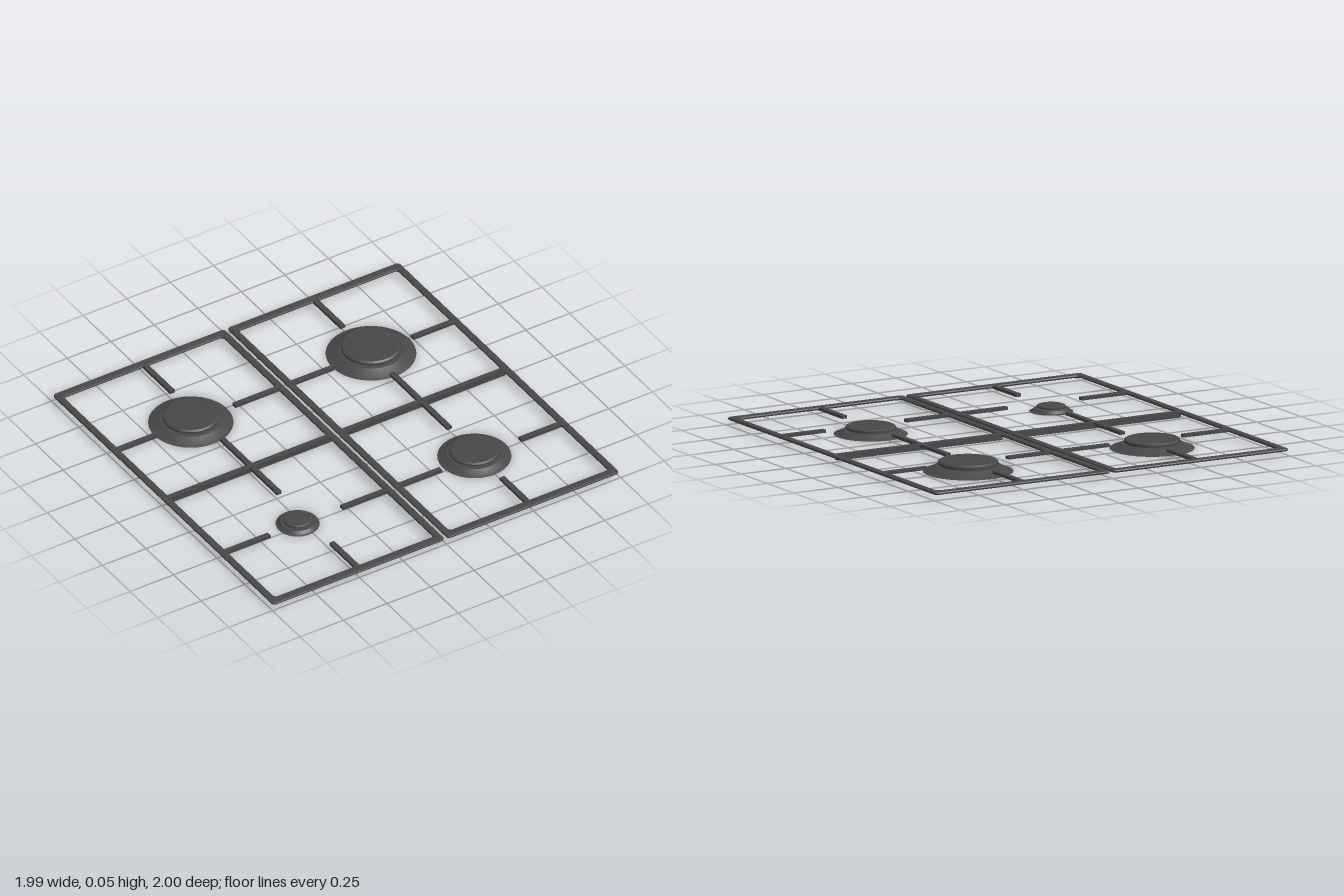
import * as THREE from 'three';
import { toCreasedNormals } from 'three/addons/utils/BufferGeometryUtils.js';

const castIron = new THREE.MeshStandardMaterial({ color: 0x484848, side: THREE.DoubleSide });
castIron.name = 'cast iron';

const TOP = 0.04, BOTTOM = 0.025, BAR = 0.028;

function addMesh(parent, name, geometry) {
  const mesh = new THREE.Mesh(geometry, castIron);
  mesh.name = name;
  parent.add(mesh);
  return mesh;
}

// Rectangle with rounded corners, as a Shape or Path
function roundedRect(target, x0, y0, x1, y1, r) {
  target.moveTo(x0 + r, y0);
  target.lineTo(x1 - r, y0);
  target.quadraticCurveTo(x1, y0, x1, y0 + r);
  target.lineTo(x1, y1 - r);
  target.quadraticCurveTo(x1, y1, x1 - r, y1);
  target.lineTo(x0 + r, y1);
  target.quadraticCurveTo(x0, y1, x0, y1 - r);
  target.lineTo(x0, y0 + r);
  target.quadraticCurveTo(x0, y0, x0 + r, y0);
  return target;
}

// Chamfered outer frame of one pan support
function frameGeometry(x0, x1) {
  const b = 0.008;
  const shape = roundedRect(new THREE.Shape(), x0 + b, -1 + b, x1 - b, 1 - b, 0.012);
  shape.holes.push(roundedRect(new THREE.Path(), x0 + 0.037 - b, -0.955 - b, x1 - 0.037 + b, 0.955 + b, 0.028));
  const geo = new THREE.ExtrudeGeometry(shape, {
    depth: 0.003, bevelThickness: 0.006, bevelSize: b, bevelSegments: 2, curveSegments: 4
  });
  geo.rotateX(-Math.PI / 2);
  geo.translate(0, BOTTOM + 0.006, 0);
  return toCreasedNormals(geo, 0.5);
}

// Straight bar given by its extents
function bar(parent, name, x0, x1, z0, z1, y0 = BOTTOM) {
  const mesh = addMesh(parent, name, new THREE.BoxGeometry(x1 - x0, TOP - y0, z1 - z0));
  mesh.position.set((x0 + x1) / 2, (TOP + y0) / 2, (z0 + z1) / 2);
}

// Pan support: frame, deep cross bar and fingers around both burners
function panSupport(name, x0, x1, fingerX, gapLeft, gapRight) {
  const group = new THREE.Group();
  group.name = name;
  const h = BAR / 2, inL = x0 + 0.03, inR = x1 - 0.03;
  addMesh(group, 'frame', frameGeometry(x0, x1));
  bar(group, 'crossBar', inL, inR, -h, h, 0.01);
  for (const z of [-0.46, 0.515]) {
    bar(group, 'sideFinger', inL, gapLeft, z - h, z + h);
    bar(group, 'sideFinger', gapRight, inR, z - h, z + h);
  }
  for (const [z0, z1] of [[-0.96, -0.71], [-0.265, 0.255], [0.73, 0.96]]) {
    bar(group, 'lengthFinger', fingerX - h, fingerX + h, z0, z1);
  }
  return group;
}

// Burner: hollow sloping skirt with a raised, bevelled cap
function burner(name, x, z, radius, cap, height) {
  const k = height / 0.055;
  const points = [
    [radius, 0], [radius * 0.9, 0.007 * k], [cap + 0.014, 0.028 * k],
    [cap - 0.008, 0.03 * k], [cap - 0.008, 0.035 * k], [cap, 0.036 * k],
    [cap, 0.048 * k], [cap - 0.009, 0.055 * k], [0, 0.055 * k]
  ].map(([r, y]) => new THREE.Vector2(r, y));
  const group = new THREE.Group();
  group.name = name;
  addMesh(group, 'skirtAndCap', toCreasedNormals(new THREE.LatheGeometry(points, 64), 0.35));
  group.position.set(x, 0, z);
  return group;
}

export function createModel() {
  const model = new THREE.Group();
  model.name = 'gasHobTop';
  model.add(
    panSupport('rightPanSupport', -0.995, -0.008, -0.488, -0.71, -0.295),
    panSupport('leftPanSupport', 0.008, 0.995, 0.49, 0.275, 0.73),
    burner('backRightBurner', -0.52, -0.495, 0.207, 0.137, 0.048),
    burner('backLeftBurner', 0.515, -0.495, 0.22, 0.147, 0.055),
    burner('frontRightBurner', -0.52, 0.472, 0.107, 0.07, 0.033),
    burner('frontLeftBurner', 0.495, 0.472, 0.18, 0.122, 0.043)
  );
  return model;
}
